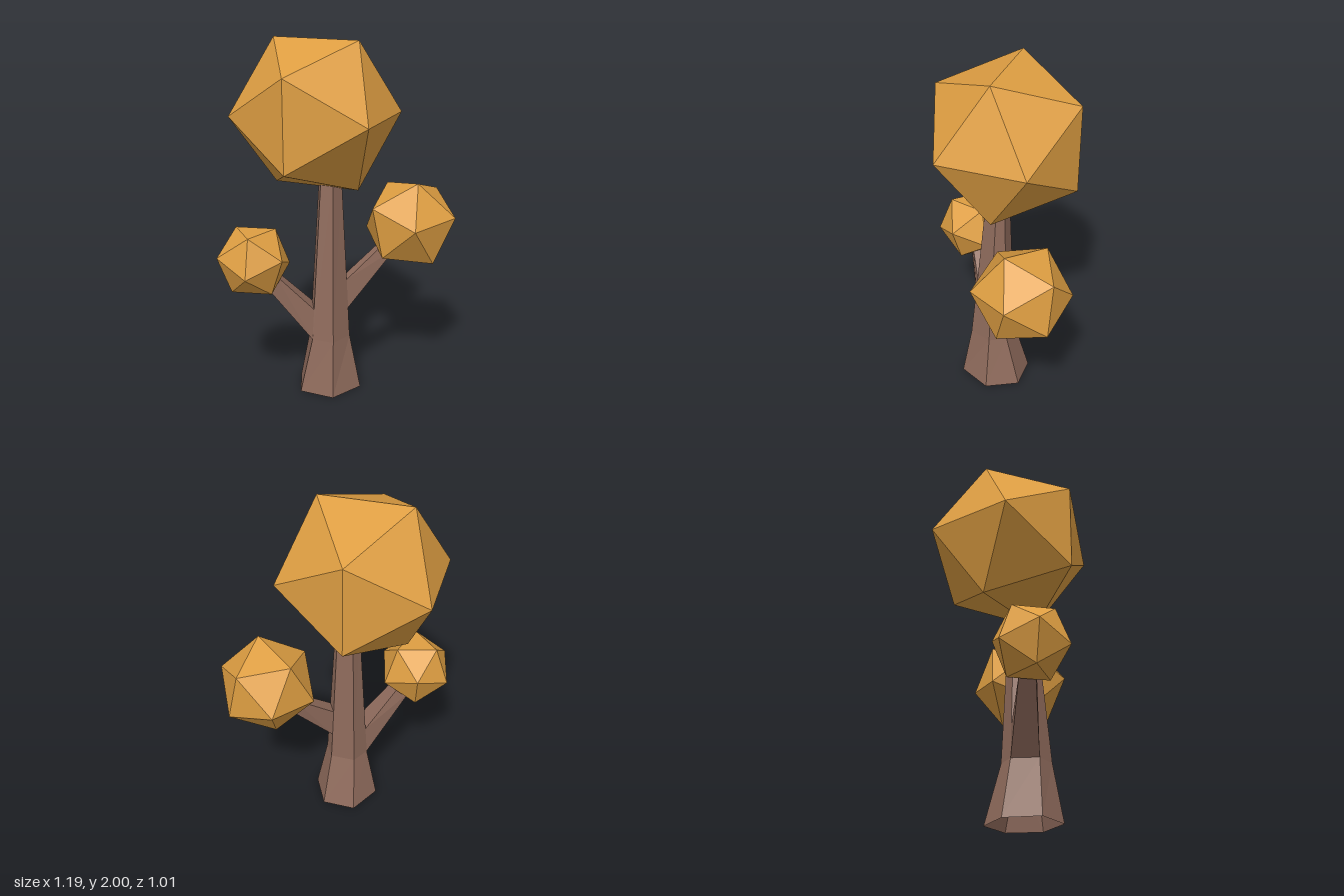
import * as THREE from 'three';

const V = (x, y, z) => new THREE.Vector3(x, y, z);

// Open faceted tube through rings of equal point count
function loft(rings) {
  const pos = [], n = rings[0].length;
  for (let r = 0; r + 1 < rings.length; r++) {
    for (let i = 0; i < n; i++) {
      const j = (i + 1) % n, a = rings[r], b = rings[r + 1];
      for (const p of [a[i], b[i], a[j], a[j], b[i], b[j]]) pos.push(p.x, p.y, p.z);
    }
  }
  const geo = new THREE.BufferGeometry();
  geo.setAttribute('position', new THREE.Float32BufferAttribute(pos, 3));
  geo.computeVertexNormals();
  return geo;
}

export function createModel() {
  const group = new THREE.Group();
  const bark = new THREE.MeshStandardMaterial({ name: 'bark brown', color: 0x8f6b5c, flatShading: true, side: THREE.DoubleSide });
  const leaf = new THREE.MeshStandardMaterial({ name: 'autumn leaf', color: 0xde9e42, flatShading: true });
  const add = (name, geo, mat) => {
    const mesh = new THREE.Mesh(geo, mat);
    mesh.name = name;
    group.add(mesh);
    return mesh;
  };

  // Six-sided trunk: corners run left, front left, front right, right, back right, back left
  const ring = (y, pts) => pts.map(([x, z]) => V(x, y, z));
  const base = ring(0, [[0.135, 0.022], [0.042, 0.21], [-0.16, 0.21], [-0.245, 0.025], [-0.15, -0.155], [0.04, -0.155]]);
  const knee = ring(0.32, [[0.068, 0.025], [0.022, 0.155], [-0.105, 0.16], [-0.178, 0.03], [-0.125, -0.068], [0.015, -0.068]]);
  const top = ring(1.24, [[0.008, 0], [-0.015, 0.07], [-0.085, 0.075], [-0.125, 0.01], [-0.1, -0.04], [-0.015, -0.04]]);
  add('trunk', loft([base, knee, top]), bark);

  // Branch grown from one trunk face, tapering to a square end
  const onTrunk = (i, y) => knee[i].clone().lerp(top[i], (y - 0.32) / 0.92);
  function branch(name, i, j, y0, y1, end, half) {
    const start = [onTrunk(i, y0), onTrunk(j, y0), onTrunk(j, y1), onTrunk(i, y1)];
    const mid = start.reduce((s, p) => s.add(p), V(0, 0, 0)).divideScalar(4);
    const w = start[1].clone().sub(start[0]).normalize();
    const u = w.clone().cross(end.clone().sub(mid)).normalize();
    const tip = [[-1, -1], [1, -1], [1, 1], [-1, 1]].map(([a, b]) =>
      end.clone().addScaledVector(w, a * half).addScaledVector(u, b * half));
    add(name, loft([start, tip]), bark);
  }
  branch('rightBranch', 2, 3, 0.32, 0.5, V(-0.33, 0.7, 0.24), 0.042);
  branch('leftBranch', 5, 0, 0.49, 0.66, V(0.22, 0.83, -0.22), 0.035);

  // Icosahedron crowns, each oriented by two neighbouring corners a and b
  function crown(name, radius, centre, a, b) {
    const mesh = add(name, new THREE.IcosahedronGeometry(radius, 0), leaf);
    const x = b.clone().sub(a).normalize();
    const z = x.clone().cross(a.clone().add(b)).normalize();
    const y = z.clone().cross(x);
    mesh.quaternion.setFromRotationMatrix(new THREE.Matrix4().makeBasis(x, y, z));
    mesh.position.copy(centre);
  }
  crown('topCrown', 0.476, V(-0.145, 1.595, -0.003), V(-1, 1.618, 0), V(1, 1.618, 0));
  crown('leftCrown', 0.275, V(0.3225, 0.955, -0.26), V(0.0675, 0.255, 0.075), V(0.2675, 0.06, 0.005));
  crown('rightCrown', 0.213, V(-0.392, 0.812, 0.301), V(-0.122, 0.169, -0.032), V(0.038, 0.169, 0.126));

  return group;
}
